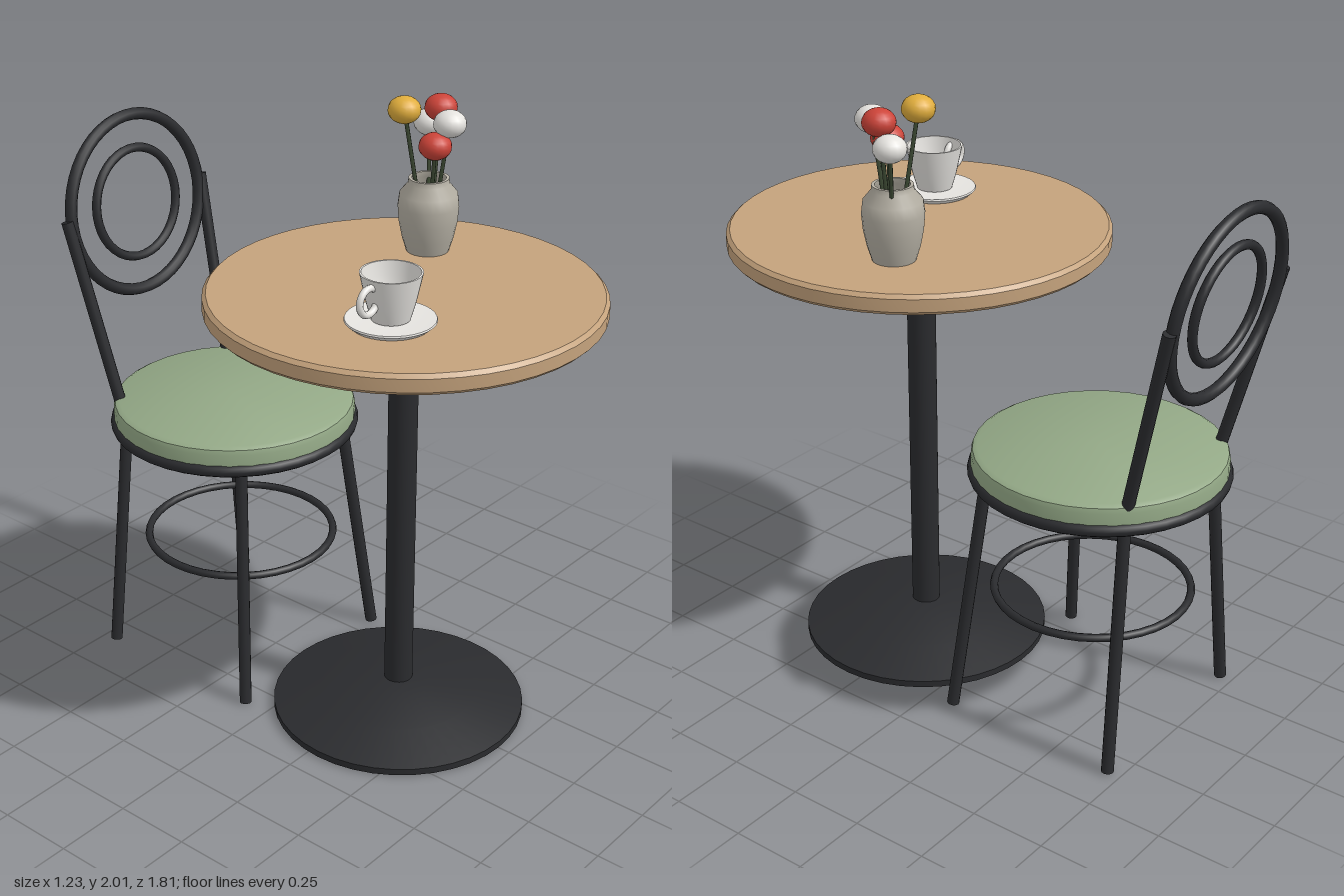
import * as THREE from 'three';
import { toCreasedNormals } from 'three/addons/utils/BufferGeometryUtils.js';

const paint = (color, side = THREE.FrontSide) => new THREE.MeshStandardMaterial({ color, side });
const iron = paint(0x2a2b2e);
const wood = paint(0xc4a27c);
const fabric = paint(0x93a886);
const china = paint(0xe6e4e0, THREE.DoubleSide);
const clay = paint(0xb5b0a4, THREE.DoubleSide);
const stemGreen = paint(0x3d4a34);
const yellow = paint(0xe0ad3c), red = paint(0xcc4338), white = paint(0xe4e2de);

const V = (x, y, z) => new THREE.Vector3(x, y, z);

function add(parent, name, geometry, material, x = 0, y = 0, z = 0) {
  const mesh = new THREE.Mesh(geometry, material);
  mesh.name = name;
  mesh.position.set(x, y, z);
  parent.add(mesh);
  return mesh;
}

// Turned solid from [radius, height] pairs, listed bottom to top
function turned(profile, segments = 40, crease = 0.7) {
  const points = profile.map(([r, y]) => new THREE.Vector2(r, y));
  return toCreasedNormals(new THREE.LatheGeometry(points, segments), crease);
}

// Straight round bar between two points
function bar(parent, name, a, b, radius, material, sides = 12) {
  const mesh = add(parent, name, new THREE.CylinderGeometry(radius, radius, a.distanceTo(b), sides), material);
  mesh.position.copy(a).add(b).multiplyScalar(0.5);
  mesh.quaternion.setFromUnitVectors(V(0, 1, 0), b.clone().sub(a).normalize());
  return mesh;
}

function createTable() {
  const table = new THREE.Group();
  table.name = 'table';
  add(table, 'tableTop', turned([
    [0, 1.43], [0.603, 1.43], [0.615, 1.442], [0.615, 1.483], [0.603, 1.495], [0, 1.495],
  ], 48), wood);
  add(table, 'topMount', new THREE.CylinderGeometry(0.16, 0.16, 0.06, 32), iron, 0, 1.4, 0);
  add(table, 'column', new THREE.CylinderGeometry(0.047, 0.047, 1.28, 24), iron, 0, 0.72, 0);
  add(table, 'base', turned([
    [0, 0], [0.415, 0], [0.415, 0.022], [0.26, 0.065], [0.1, 0.1], [0, 0.103],
  ]), iron);
  return table;
}

function createChair() {
  const chair = new THREE.Group();
  chair.name = 'chair';

  // Seat
  add(chair, 'cushion', turned([
    [0, 0.83], [0.405, 0.83], [0.405, 0.895], [0.4, 0.911], [0.385, 0.92], [0, 0.922],
  ], 36), fabric);
  add(chair, 'seatRim', new THREE.TorusGeometry(0.394, 0.023, 10, 40), iron, 0, 0.838, 0)
    .rotation.x = Math.PI / 2;

  // Legs and back posts, mirrored left and right
  for (const s of [-1, 1]) {
    bar(chair, 'frontLeg', V(s * 0.25, 0.83, 0.255), V(s * 0.335, 0, 0.33), 0.02, iron);
    bar(chair, 'backLeg', V(s * 0.25, 0.83, -0.262), V(s * 0.335, 0, -0.283), 0.02, iron);
    bar(chair, 'backPost', V(s * 0.262, 0.9, -0.277), V(s * 0.313, 1.52, -0.428), 0.02, iron);
  }
  add(chair, 'footRing', new THREE.TorusGeometry(0.318, 0.013, 8, 40), iron, 0, 0.405, 0.017)
    .rotation.x = Math.PI / 2;

  // Leaning round back
  const back = new THREE.Group();
  back.name = 'backrest';
  back.position.set(0, 1.502, -0.425);
  back.rotation.x = -0.13;
  add(back, 'outerHoop', new THREE.TorusGeometry(0.295, 0.02, 10, 48), iron);
  add(back, 'innerHoop', new THREE.TorusGeometry(0.183, 0.015, 10, 40), iron);
  chair.add(back);
  return chair;
}

function createCup() {
  const cup = new THREE.Group();
  cup.name = 'cupAndSaucer';
  add(cup, 'saucer', turned([
    [0, 0], [0.12, 0], [0.137, 0.015], [0.135, 0.02], [0.085, 0.016], [0, 0.016],
  ], 32), china);
  add(cup, 'cup', turned([
    [0, 0.018], [0.058, 0.018], [0.073, 0.07], [0.085, 0.125], [0.093, 0.163],
    [0.087, 0.163], [0.079, 0.12], [0.065, 0.06], [0.05, 0.03], [0, 0.026],
  ], 32), china);
  add(cup, 'handle', new THREE.TorusGeometry(0.04, 0.011, 8, 24), china, -0.103, 0.103, 0);
  return cup;
}

function createVase() {
  const vase = new THREE.Group();
  vase.name = 'vaseOfFlowers';
  add(vase, 'vase', turned([
    [0, 0], [0.068, 0], [0.082, 0.045], [0.093, 0.1], [0.097, 0.15], [0.092, 0.19],
    [0.066, 0.222], [0.064, 0.24], [0.054, 0.24], [0.056, 0.222], [0.08, 0.18], [0.07, 0.02], [0, 0.015],
  ], 24, 0.9), clay);

  // Flower heads, placed relative to the foot of the vase
  const flowers = [
    [-0.07, 0.465, -0.047, yellow],
    [0, 0.428, 0.075, white],
    [0.063, 0.449, -0.007, red],
    [0.085, 0.385, -0.065, white],
    [-0.043, 0.363, 0.053, red],
  ];
  for (const [x, y, z, color] of flowers) {
    bar(vase, 'stem', V(x * 0.12, 0.03, z * 0.12), V(x, y, z), 0.007, stemGreen, 6);
    add(vase, 'flowerHead', new THREE.SphereGeometry(0.052, 16, 12), color, x, y, z).scale.y = 0.82;
  }
  return vase;
}

export function createModel() {
  const model = new THREE.Group();
  model.name = 'cafeTableAndChair';
  const place = (part, x, y, z) => {
    part.position.set(x, y, z);
    model.add(part);
  };
  place(createTable(), 0, 0, 0.295);
  place(createChair(), 0, 0, -0.42);
  place(createCup(), -0.24, 1.497, 0.428);
  place(createVase(), 0.297, 1.495, 0.152);
  return model;
}
